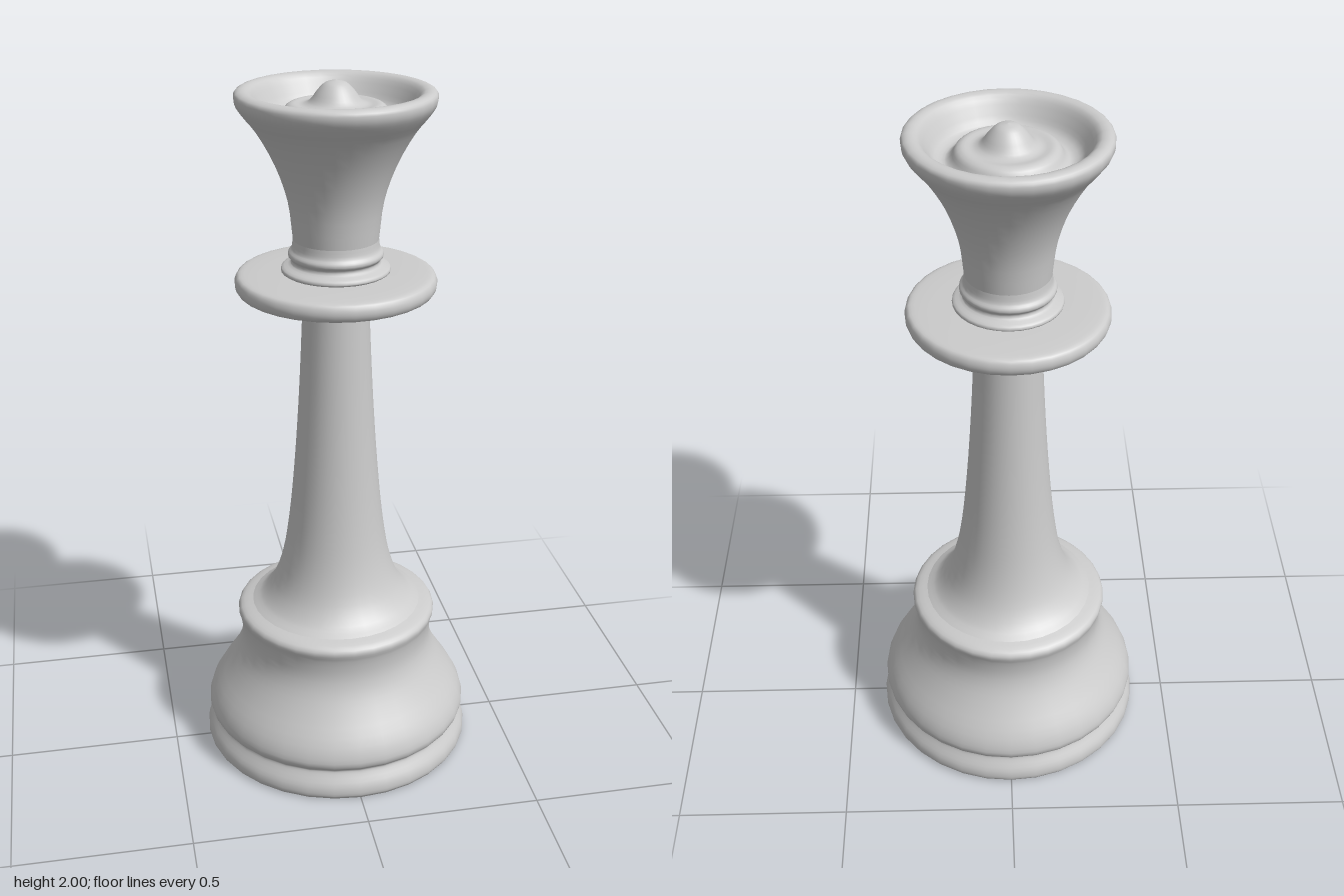
import * as THREE from 'three';

const SIDES = 32;
const material = new THREE.MeshStandardMaterial({ color: 0xcccccc });

// Turned part: smooth curve through [radius, height] points, bottom to top
function turned(name, profile, steps = 3) {
  const curve = new THREE.CatmullRomCurve3(
    profile.map(([r, y]) => new THREE.Vector3(r, y, 0)), false, 'centripetal');
  const points = [];
  const last = profile.length - 1;
  for (let i = 0; i <= last * steps; i++) {
    const p = curve.getPoint(i / (last * steps));
    points.push(new THREE.Vector2(Math.max(0, p.x), p.y));
  }
  const mesh = new THREE.Mesh(new THREE.LatheGeometry(points, SIDES), material);
  mesh.name = name;
  return mesh;
}

export function createModel() {
  const piece = new THREE.Group();
  piece.name = 'chessQueen';

  // Flat underside
  const underside = new THREE.Mesh(new THREE.CircleGeometry(0.39, SIDES), material);
  underside.name = 'underside';
  underside.rotation.x = Math.PI / 2;
  piece.add(underside);

  // Foot ring, groove, bulge and shoulder
  piece.add(turned('base', [
    [0.39, 0], [0.397, 0.012], [0.394, 0.04], [0.376, 0.072], [0.372, 0.085],
    [0.385, 0.098], [0.39, 0.12], [0.375, 0.165], [0.33, 0.235], [0.297, 0.295],
    [0.284, 0.345], [0.287, 0.40], [0.294, 0.428], [0.285, 0.443], [0.25, 0.455],
  ]));

  // Tapering stem
  piece.add(turned('stem', [
    [0.25, 0.455], [0.22, 0.475], [0.185, 0.525], [0.157, 0.61], [0.137, 0.73],
    [0.12, 0.90], [0.106, 1.10], [0.096, 1.30], [0.091, 1.43],
  ]));

  // Flat round collar
  piece.add(turned('collar', [
    [0.08, 1.427], [0.25, 1.427], [0.27, 1.432], [0.278, 1.452],
    [0.271, 1.474], [0.25, 1.48], [0.12, 1.484],
  ]));

  // Two small rings under the head
  piece.add(turned('neckRings', [
    [0.13, 1.48], [0.15, 1.487], [0.148, 1.497], [0.125, 1.508], [0.122, 1.518],
    [0.13, 1.528], [0.13, 1.538], [0.121, 1.55], [0.117, 1.575],
  ]));

  // Flared head with its hollow crown, inner step and knob
  piece.add(turned('head', [
    [0.117, 1.575], [0.13, 1.68], [0.163, 1.78], [0.212, 1.87], [0.25, 1.918],
    [0.266, 1.945], [0.266, 1.968], [0.25, 1.977], [0.227, 1.972], [0.205, 1.94],
    [0.185, 1.91], [0.16, 1.902], [0.145, 1.912], [0.132, 1.932], [0.115, 1.94],
    [0.09, 1.938], [0.07, 1.946], [0.05, 1.972], [0.028, 1.993], [0, 2],
  ]));

  return piece;
}
